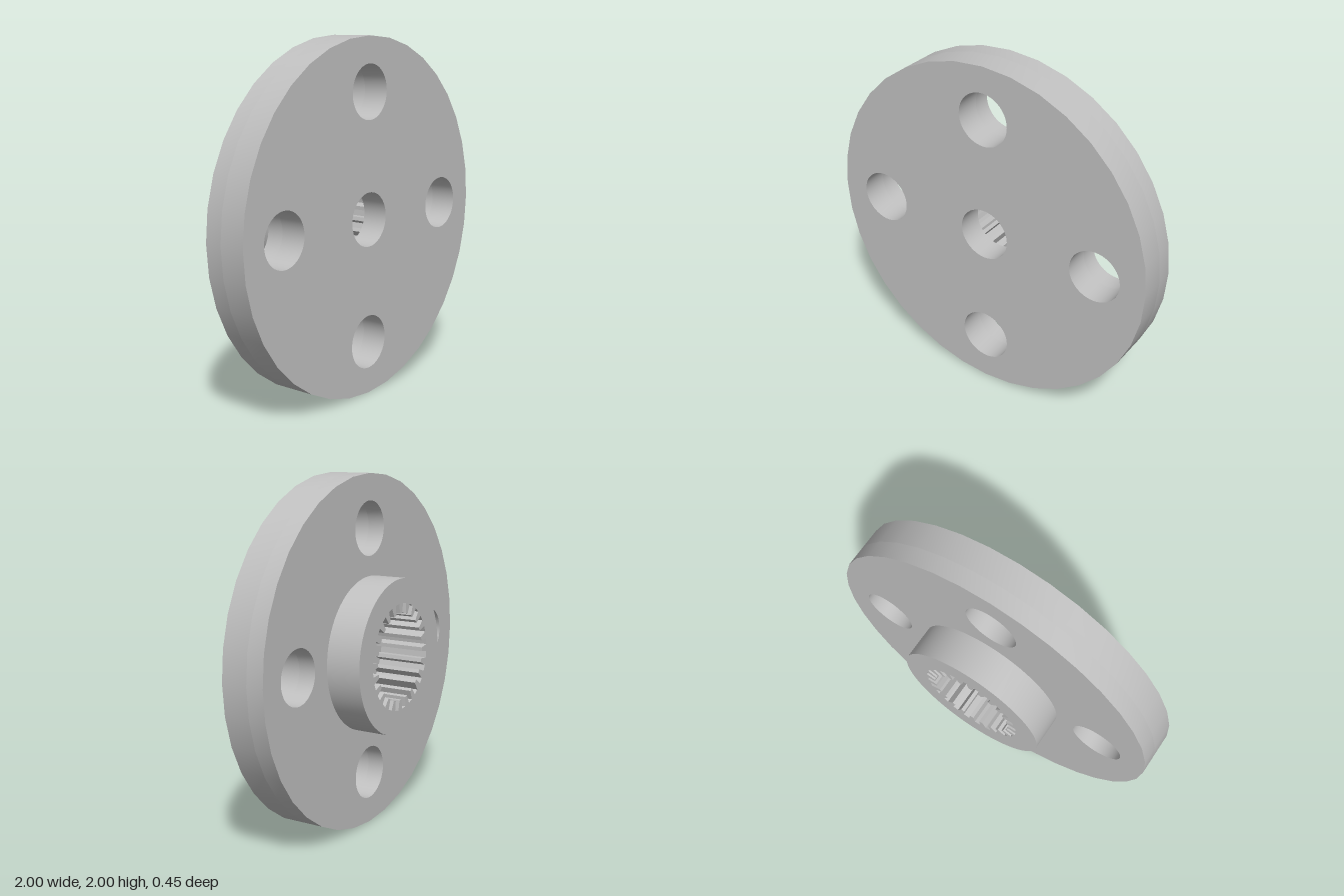
import * as THREE from 'three';
import { toCreasedNormals } from 'three/addons/utils/BufferGeometryUtils.js';

const TEETH = 24;

// Points of a regular polygon around (x, y)
function ring(radius, sides, x = 0, y = 0) {
  return Array.from({ length: sides }, (_, i) => {
    const a = (i / sides) * Math.PI * 2;
    return new THREE.Vector2(x + radius * Math.cos(a), y + radius * Math.sin(a));
  });
}

// Internal spline outline: tapered teeth pointing inwards
function splineRing(tipRadius, rootRadius) {
  const points = [];
  const step = (Math.PI * 2) / TEETH;
  const corners = [[-0.27, rootRadius], [-0.17, tipRadius], [0.17, tipRadius], [0.27, rootRadius]];
  for (let i = 0; i < TEETH; i++) {
    for (const [offset, r] of corners) {
      const a = (i + offset) * step;
      points.push(new THREE.Vector2(r * Math.cos(a), r * Math.sin(a)));
    }
  }
  return points;
}

// Extruded plate between two z values, smooth on its round walls
function plate(name, outline, holes, zBack, zFront, material) {
  const shape = new THREE.Shape(outline);
  shape.holes = holes.map((points) => new THREE.Path(points));
  const geometry = new THREE.ExtrudeGeometry(shape, { depth: zFront - zBack, bevelEnabled: false });
  geometry.translate(0, 1, zBack);
  const mesh = new THREE.Mesh(toCreasedNormals(geometry, 0.35), material);
  mesh.name = name;
  return mesh;
}

export function createModel() {
  const group = new THREE.Group();
  group.name = 'splinedFlange';
  const steel = new THREE.MeshStandardMaterial({ color: 0xc0c0c0 });
  steel.name = 'grey steel';

  const rim = ring(1, 36);
  const boltHoles = [[0.7, 0], [0, 0.7], [-0.7, 0], [0, -0.7]].map(([x, y]) => ring(0.152, 48, x, y));
  const spline = splineRing(0.245, 0.3);

  // Front of the disc, with the narrow centre bore
  group.add(plate('discFront', rim, [...boltHoles, ring(0.152, 48)], 0.075, 0.225, steel));
  // Back of the disc, where the splined socket reaches in
  group.add(plate('discBack', rim, [...boltHoles, spline], -0.025, 0.075, steel));
  // Raised hub around the splined socket
  group.add(plate('hub', ring(0.4375, 72), [spline], -0.225, -0.025, steel));
  return group;
}
